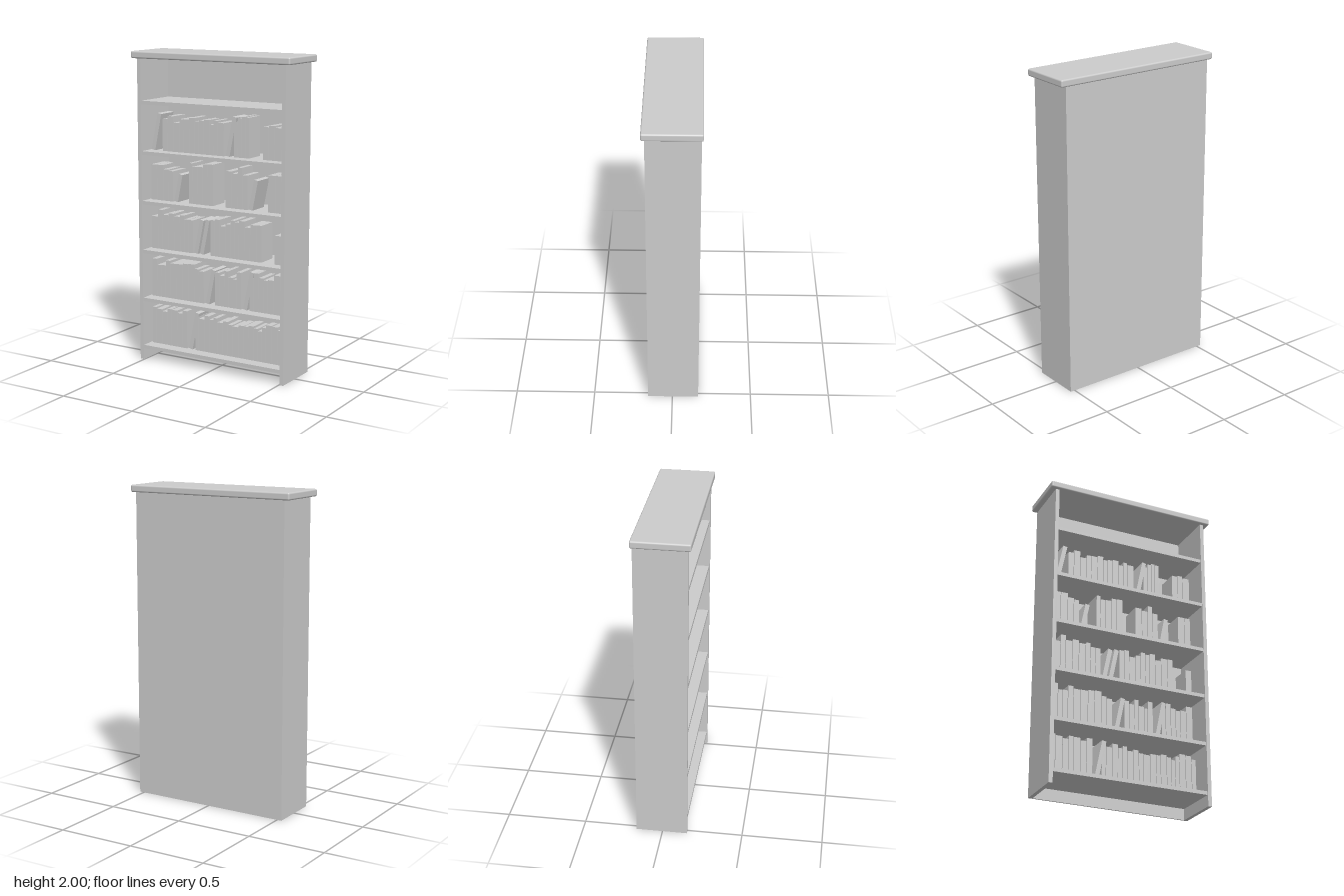
import * as THREE from 'three';
import { RoundedBoxGeometry } from 'three/addons/geometries/RoundedBoxGeometry.js';

const paint = new THREE.MeshStandardMaterial({ color: 0xcccccc });
paint.name = 'light grey';

const INNER = 0.505; // half the clear width between the sides
const UNIT = 0.0053; // book layout step, counted from the inner left edge
const LEAN = 0.2;    // tilt of leaning books

// Shelf heights from the bottom up; the last one stays empty
const shelfTops = [0.095, 0.413, 0.731, 1.05, 1.37, 1.69];

// Runs of upright books (start, end, count, mean height) and leaning books (left, height)
const rows = [
  { runs: [[3, 54, 7, 43], [65, 185, 18, 41]], leaning: [[56, 47]] },
  { runs: [[3, 78, 10, 44], [93, 130, 6, 40], [141, 182, 6, 44]], leaning: [[80, 43], [132, 47]] },
  { runs: [[3, 63, 8, 44], [87, 157, 10, 42], [174, 182, 1, 34]], leaning: [[64, 42], [72, 43]] },
  { runs: [[3, 35, 4, 40], [57, 91, 5, 45], [108, 138, 4, 44], [165, 182, 2, 45]], leaning: [[36, 34], [139, 36]] },
  { runs: [[20, 106, 12, 38], [119, 140, 4, 43], [158, 182, 3, 42]], leaning: [[4, 45], [108, 47]] },
];

// Small seeded generator, 0 to 1
function makeRandom(seed) {
  let s = seed;
  return () => (s = (s * 16807) % 2147483647) / 2147483647;
}

function box(name, w, h, d, x, y, z, parent) {
  const mesh = new THREE.Mesh(new THREE.BoxGeometry(w, h, d), paint);
  mesh.name = name;
  mesh.position.set(x, y, z);
  parent.add(mesh);
}

// A book turns about its lower right edge, which rests on the shelf
function addBook(left, width, height, depth, angle, parent) {
  const w = width * UNIT, h = height * UNIT;
  const book = new THREE.Group();
  book.name = 'book';
  book.position.x = -INNER + left * UNIT + w;
  book.rotation.z = -angle;
  box('bookBlock', w, h, depth, -w / 2, h / 2, 0.07 - depth / 2, book);
  parent.add(book);
}

// Upright books of varied width and height fill a run, with a hairline gap between them
function addRun([start, end, count, meanHeight], random, parent) {
  const shares = Array.from({ length: count }, () => 0.75 + 0.5 * random());
  const total = shares.reduce((a, b) => a + b, 0);
  const spread = count > 1 ? 10 : 0;
  let x = start;
  for (const share of shares) {
    const step = (share / total) * (end - start);
    const height = meanHeight + (random() - 0.5) * spread;
    addBook(x, step - 0.6, height, 0.13 + 0.02 * random(), 0, parent);
    x += step;
  }
}

export function createModel() {
  const model = new THREE.Group();
  model.name = 'bookcase';
  const random = makeRandom(4217);

  // Top board with softened edges
  const top = new THREE.Mesh(new RoundedBoxGeometry(1.13, 0.045, 0.35, 3, 0.01), paint);
  top.name = 'topBoard';
  top.position.y = 1.9775;
  model.add(top);

  // Sides and back
  for (const s of [-1, 1]) {
    box(s > 0 ? 'leftSide' : 'rightSide', 0.025, 1.955, 0.31, s * 0.5175, 0.9775, 0, model);
  }
  box('backPanel', 1.06, 1.955, 0.01, 0, 0.9775, -0.16, model);

  // Shelves
  for (const y of shelfTops) {
    box('shelf', INNER * 2, 0.023, 0.305, 0, y - 0.0115, -0.0025, model);
  }

  // Books
  rows.forEach(({ runs, leaning }, i) => {
    const row = new THREE.Group();
    row.name = 'bookRow';
    row.position.y = shelfTops[i];
    for (const run of runs) addRun(run, random, row);
    for (const [left, height] of leaning) addBook(left, 5.2, height, 0.14, LEAN, row);
    model.add(row);
  });
  return model;
}
